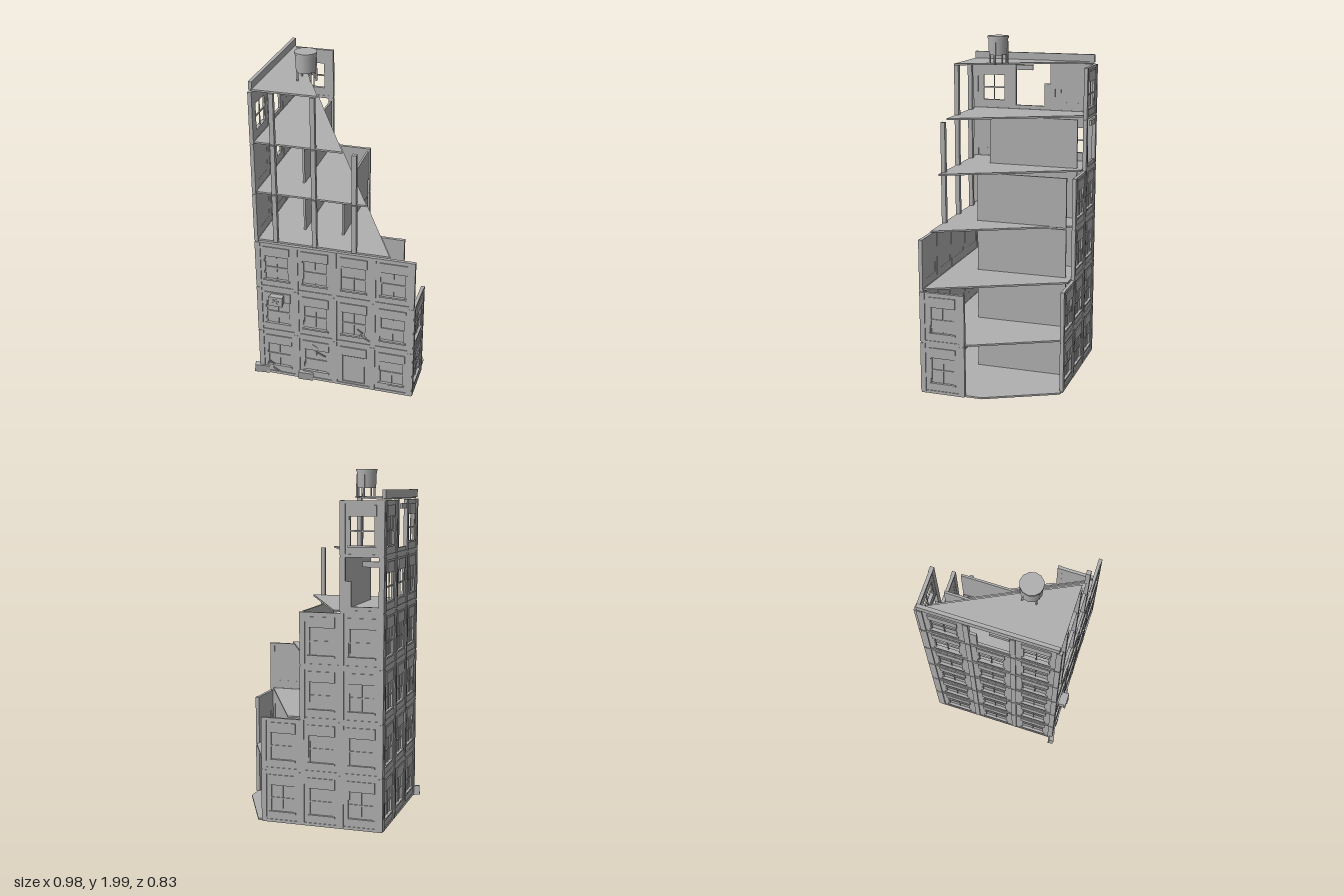
import * as THREE from 'three';

const concrete = new THREE.MeshStandardMaterial({ color: 0xb0b0b0 });
concrete.name = 'concrete grey';

const FLOOR = 0.302, BASE = 0.025, WALL_H = 0.293, THICK = 0.014;

function add(parent, name, geometry, x = 0, y = 0, z = 0) {
  const mesh = new THREE.Mesh(geometry, concrete);
  mesh.name = name;
  mesh.position.set(x, y, z);
  parent.add(mesh);
  return mesh;
}

// box centred in x and z, standing from y0 to y1
function block(parent, name, x, y0, y1, z, w, d) {
  return add(parent, name, new THREE.BoxGeometry(w, y1 - y0, d), x, (y0 + y1) / 2, z);
}

// floor plate cut along a diagonal; points are [x, z]
function slab(parent, name, y, points) {
  const shape = new THREE.Shape(points.map(([x, z]) => new THREE.Vector2(x, -z)));
  const geometry = new THREE.ExtrudeGeometry(shape, { depth: 0.01, bevelEnabled: false });
  geometry.rotateX(-Math.PI / 2);
  add(parent, name, geometry, 0, y, 0);
}

// one wall bay: u runs along the wall, +z is outward
function bay(parent, u, y, w, kind) {
  const g = new THREE.Group();
  g.name = kind + 'Bay';
  g.position.set(u, y, 0);
  parent.add(g);
  if (kind === 'broken') {
    block(g, 'brokenSill', 0, 0, 0.028, 0.007, w, THICK);
    block(g, 'brokenWall', -w / 2 + 0.026, 0.02, 0.165, 0.007, 0.055, THICK);
    block(g, 'brokenLintel', 0.055, 0.243, 0.273, 0.01, 0.105, THICK);
    return;
  }
  const door = kind === 'door', low = door ? 0.02 : 0.055, high = 0.208, hw = 0.073;
  const shape = new THREE.Shape([[-w / 2, 0], [w / 2, 0], [w / 2, WALL_H], [-w / 2, WALL_H]]
    .map(p => new THREE.Vector2(...p)));
  shape.holes.push(new THREE.Path([[-hw, low], [-hw, high], [hw, high], [hw, low]]
    .map(p => new THREE.Vector2(...p))));
  add(g, 'wallPanel', new THREE.ExtrudeGeometry(shape, { depth: THICK, bevelEnabled: false }));
  // raised lintel, sill and frame
  block(g, 'lintel', 0, high, 0.268, 0.016, 0.158, 0.008);
  if (!door) block(g, 'sill', 0, low - 0.01, low, 0.016, 0.158, 0.01);
  for (const s of [-1, 1]) block(g, 'jamb', s * (hw - 0.003), low, high, 0.007, 0.006, 0.01);
  if (kind !== 'open') block(g, 'pane', 0, low, high, 0.003, hw * 2, 0.004);
  // glazing bars
  if (door) {
    block(g, 'doorLeaf', 0, low, high - 0.01, 0.006, 0.13, 0.006);
  } else {
    const mid = (low + high) / 2;
    block(g, 'meetingRail', 0, mid - 0.004, mid + 0.004, 0.007, hw * 2, 0.008);
    block(g, 'glazingBar', 0, low, high, 0.007, 0.005, 0.006);
  }
}

// a storey of wall: bays side by side, pilasters between, ledge on top
function wallRow(parent, name, level, u0, w, kinds) {
  const g = new THREE.Group();
  g.name = name + 'Storey' + (level + 1);
  parent.add(g);
  const y = BASE + level * FLOOR, length = w * kinds.length;
  kinds.forEach((kind, i) => bay(g, u0 + w * (i + 0.5), y, w, kind));
  for (let i = 0; i <= kinds.length; i++) {
    const inset = i === 0 ? 0.006 : i === kinds.length ? -0.006 : 0;
    block(g, 'pilaster', u0 + w * i + inset, y, y + WALL_H, 0.009, 0.03, 0.022);
  }
  const whole = !kinds.includes('broken');
  if (whole) block(g, 'topBand', u0 + length / 2, y + WALL_H - 0.016, y + WALL_H, 0.008, length, 0.019);
  block(g, 'footBand', u0 + length / 2, y - 0.009, y + 0.008, 0.008, length + 0.012, 0.02);
}

function wallSide(parent, name, x, z, angle) {
  const g = new THREE.Group();
  g.name = name;
  g.position.set(x, 0, z);
  g.rotation.y = angle;
  parent.add(g);
  return g;
}

// thin zigzag of short bars on the facade
function crack(parent, points) {
  for (let i = 1; i < points.length; i++) {
    const [x0, y0] = points[i - 1], [x1, y1] = points[i];
    const bar = add(parent, 'crack', new THREE.BoxGeometry(Math.hypot(x1 - x0, y1 - y0), 0.007, 0.006),
      (x0 + x1) / 2, (y0 + y1) / 2, 0.366);
    bar.rotation.z = Math.atan2(y1 - y0, x1 - x0);
  }
}

export function createModel() {
  const model = new THREE.Group();
  model.name = 'ruinedBuilding';

  // floors, each cut further back than the one below
  slab(model, 'groundSlab', 0.017, [[-0.45, -0.405], [0.28, -0.405], [0.48, 0], [0.48, 0.355], [-0.45, 0.355]]);
  slab(model, 'floorSlab', 0.322, [[-0.445, -0.395], [0.24, -0.395], [0.475, 0.075], [0.475, 0.352], [-0.445, 0.352]]);
  for (let i = 2; i <= 6; i++) {
    const back = 0.102 - (i - 2) * 0.1345;
    slab(model, i === 6 ? 'roofSlab' : 'floorSlab', 0.02 + i * FLOOR,
      [[-0.445, -0.395], [back, -0.395], [back + 0.366, 0.352], [-0.445, 0.352]]);
  }

  // outer walls
  const front = wallSide(model, 'frontWall', 0, 0.346, 0);
  const left = wallSide(model, 'sideWall', -0.436, 0, -Math.PI / 2);
  const back = wallSide(model, 'backWall', 0, -0.396, Math.PI);
  const right = wallSide(model, 'cornerWall', 0.469, 0, Math.PI / 2);
  const W = 'window', O = 'open', B = 'broken';
  for (let i = 0; i < 3; i++) wallRow(front, 'front', i, -0.445, 0.23, [W, W, i === 0 ? 'door' : W, W]);
  [[W, W, W], [W, W, W], [W, W, W], [W, W, W], [O, O, W], [W, B, O]]
    .forEach((kinds, i) => wallRow(left, 'side', i, -0.395, 0.25, kinds));
  [[W, W, W], [W, W, W], [W, W], [W, W], [B], [O]]
    .forEach((kinds, i) => wallRow(back, 'back', i, 0.445 - 0.23 * kinds.length, 0.23, kinds));
  for (let i = 0; i < 2; i++) wallRow(right, 'corner', i, -0.355, 0.248, [W]);

  // inner partitions
  for (let i = 0; i < 5; i++) {
    const y = BASE + i * FLOOR;
    block(model, 'partition', -0.212, y, y + WALL_H, -0.09, 0.012, 0.54);
    if (i < 4) block(model, 'partition', 0.017, y, y + WALL_H, -0.09, 0.012, 0.54);
  }

  // bare columns where the facade is gone
  for (let i = 3; i < 6; i++) {
    const y = BASE + i * FLOOR;
    for (const x of [-0.33, -0.1, 0.13])
      if (i < 5 || x < 0) block(model, 'column', x, y, y + WALL_H + 0.003, 0.346, 0.026, 0.026);
  }

  // roof parapet
  block(model, 'parapet', -0.445, 1.838, 1.884, -0.025, 0.02, 0.75);

  // water tank
  const tank = new THREE.Group();
  tank.name = 'waterTank';
  tank.position.set(-0.204, 0, 0.125);
  model.add(tank);
  add(tank, 'tankBody', new THREE.CylinderGeometry(0.06, 0.056, 0.1, 12), 0, 1.94, 0);
  add(tank, 'tankLid', new THREE.CylinderGeometry(0.063, 0.063, 0.012, 12), 0, 1.994, 0);
  for (const x of [-0.037, 0.037])
    for (const z of [-0.037, 0.037]) block(tank, 'tankLeg', x, 1.838, 1.895, z, 0.008, 0.008);
  block(tank, 'tankPipe', 0, 1.838, 1.97, -0.058, 0.008, 0.008);
  block(tank, 'tankPipe', 0.058, 1.838, 1.97, 0, 0.008, 0.008);

  // window cooling unit
  const cooler = new THREE.Group();
  cooler.name = 'coolingUnit';
  cooler.position.set(-0.328, 0.56, 0);
  model.add(cooler);
  block(cooler, 'coolerBody', 0, -0.027, 0.027, 0.382, 0.078, 0.05);
  block(cooler, 'coolerFront', 0, -0.03, 0.03, 0.402, 0.084, 0.01);
  for (const a of [-0.9, 0.3, 1.2])
    add(cooler, 'fanBlade', new THREE.BoxGeometry(0.04, 0.006, 0.006), 0, 0, 0.409).rotation.z = a;

  // cracks in the facade
  crack(model, [[-0.12, 0.27], [-0.09, 0.255], [-0.1, 0.225], [-0.04, 0.2]]);
  crack(model, [[0.155, 0.43], [0.185, 0.41], [0.17, 0.39], [0.23, 0.36]]);
  crack(model, [[-0.39, 0.105], [-0.36, 0.085], [-0.37, 0.06], [-0.325, 0.035]]);

  // fallen chunks at the foot
  for (const [x, z, turn] of [[-0.443, 0.357, 0.2], [-0.165, 0.36, 0.15]]) {
    const chunk = add(model, 'rubble', new THREE.BoxGeometry(0.09, 0.055, 0.03), x, 0.04, z);
    chunk.rotation.set(0.15, turn, -0.12);
  }
  return model;
}
